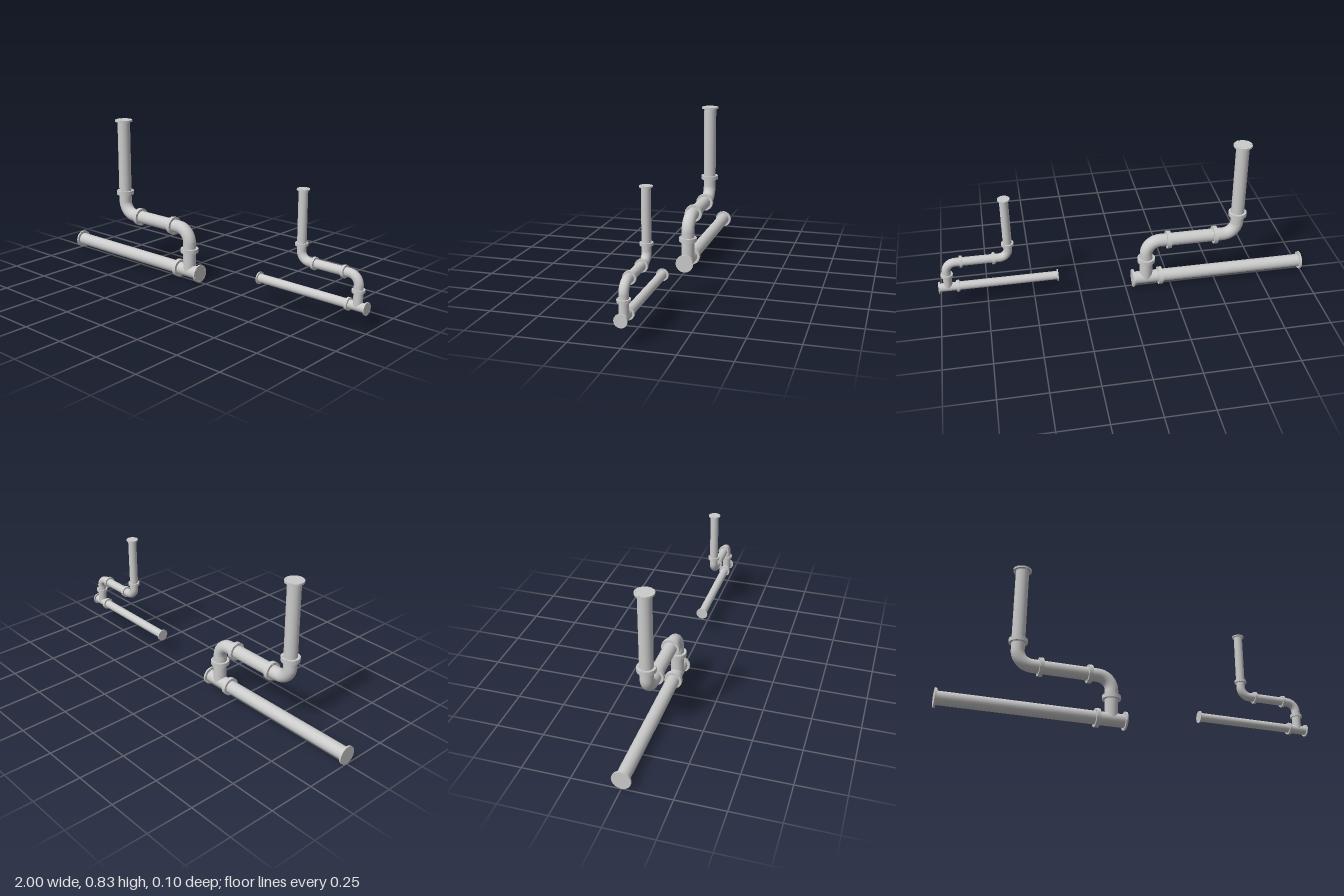
import * as THREE from 'three';

const material = new THREE.MeshStandardMaterial({ color: 0xcccccc, side: THREE.DoubleSide });
const PIPE = 0.035, FLANGE = 0.049;
const v = (x, y) => new THREE.Vector3(x, y, 0);

// Cylinder running between two points
function rod(name, a, b, radius, sides) {
  const dir = b.clone().sub(a);
  const mesh = new THREE.Mesh(new THREE.CylinderGeometry(radius, radius, dir.length(), sides), material);
  mesh.position.copy(a).add(b).multiplyScalar(0.5);
  mesh.quaternion.setFromUnitVectors(new THREE.Vector3(0, 1, 0), dir.normalize());
  mesh.name = name;
  return mesh;
}

// Flange disc with a ring of bolts that stand slightly proud of its faces
function flange(name, centre, axis, thickness, bolted = true) {
  const group = new THREE.Group();
  group.name = name;
  const h = thickness / 2;
  group.add(rod('flangeDisc', v(0, -h), v(0, h), FLANGE, 16));
  for (let i = 0; bolted && i < 6; i++) {
    const angle = i * Math.PI / 3 + 0.23;
    const bolt = rod('bolt', v(0, -h - 0.002), v(0, h + 0.002), 0.0035, 6);
    bolt.position.set(0.041 * Math.cos(angle), 0, 0.041 * Math.sin(angle));
    group.add(bolt);
  }
  group.position.copy(centre);
  group.quaternion.setFromUnitVectors(new THREE.Vector3(0, 1, 0), axis);
  return group;
}

// Pipe elbow: short straight, quarter bend, short straight
function elbow(name, start, corner, end, bend) {
  const toStart = start.clone().sub(corner).normalize().multiplyScalar(bend);
  const toEnd = end.clone().sub(corner).normalize().multiplyScalar(bend);
  const centre = corner.clone().add(toStart).add(toEnd);
  const points = [start];
  for (let i = 0; i <= 12; i++) {
    const t = i / 12 * Math.PI / 2;
    points.push(centre.clone().addScaledVector(toEnd, -Math.cos(t)).addScaledVector(toStart, -Math.sin(t)));
  }
  points.push(end);
  const path = new THREE.CurvePath();
  for (let i = 1; i < points.length; i++) path.add(new THREE.LineCurve3(points[i - 1], points[i]));
  const mesh = new THREE.Mesh(new THREE.TubeGeometry(path, 40, PIPE, 24), material);
  mesh.name = name;
  return mesh;
}

// Pipe run with its origin on the base pipe axis at the tee's closed end
function pipeRun(name) {
  const g = new THREE.Group();
  g.name = name;
  const X = v(1, 0), Y = v(0, 1);
  const riserX = -0.077, stackX = -0.574, midY = 0.234;

  // Base pipe and tee
  g.add(
    rod('basePipe', v(-0.958, 0), v(-0.155, 0), PIPE, 24),
    rod('teeBody', v(-0.155, 0), v(-0.005, 0), PIPE, 24),
    rod('teeBranch', v(riserX, 0), v(riserX, 0.118), PIPE, 24),
    flange('baseEndFlange', v(-0.957, 0), X, 0.01, false),
    flange('teeEndFlange', v(-0.005, 0), X, 0.01),
    flange('baseCoupling', v(-0.154, 0), X, 0.022),
    flange('riserCoupling', v(riserX, 0.118), Y, 0.022)
  );

  // Elbows and the crossing pipe between them
  g.add(
    elbow('upperElbow', v(riserX, 0.118), v(riserX, midY), v(-0.197, midY), 0.075),
    rod('crossPipe', v(-0.454, midY), v(-0.197, midY), PIPE, 24),
    elbow('lowerElbow', v(-0.454, midY), v(stackX, midY), v(stackX, 0.358), 0.075),
    flange('crossCouplingLeft', v(-0.197, midY), X, 0.022),
    flange('crossCouplingRight', v(-0.454, midY), X, 0.022)
  );

  // Vertical stack
  g.add(
    flange('stackCoupling', v(stackX, 0.358), Y, 0.022),
    rod('stackPipe', v(stackX, 0.358), v(stackX, 0.77), PIPE, 24),
    flange('stackTopFlange', v(stackX, 0.77), Y, 0.01)
  );
  return g;
}

export function createModel() {
  const model = new THREE.Group();
  model.name = 'pipes';
  const large = pipeRun('largePipeRun');
  large.position.set(-0.038, 0.05, 0);
  const small = pipeRun('smallPipeRun');
  small.scale.setScalar(0.658);
  small.position.set(1, 0.126, 0);
  model.add(large, small);
  return model;
}
